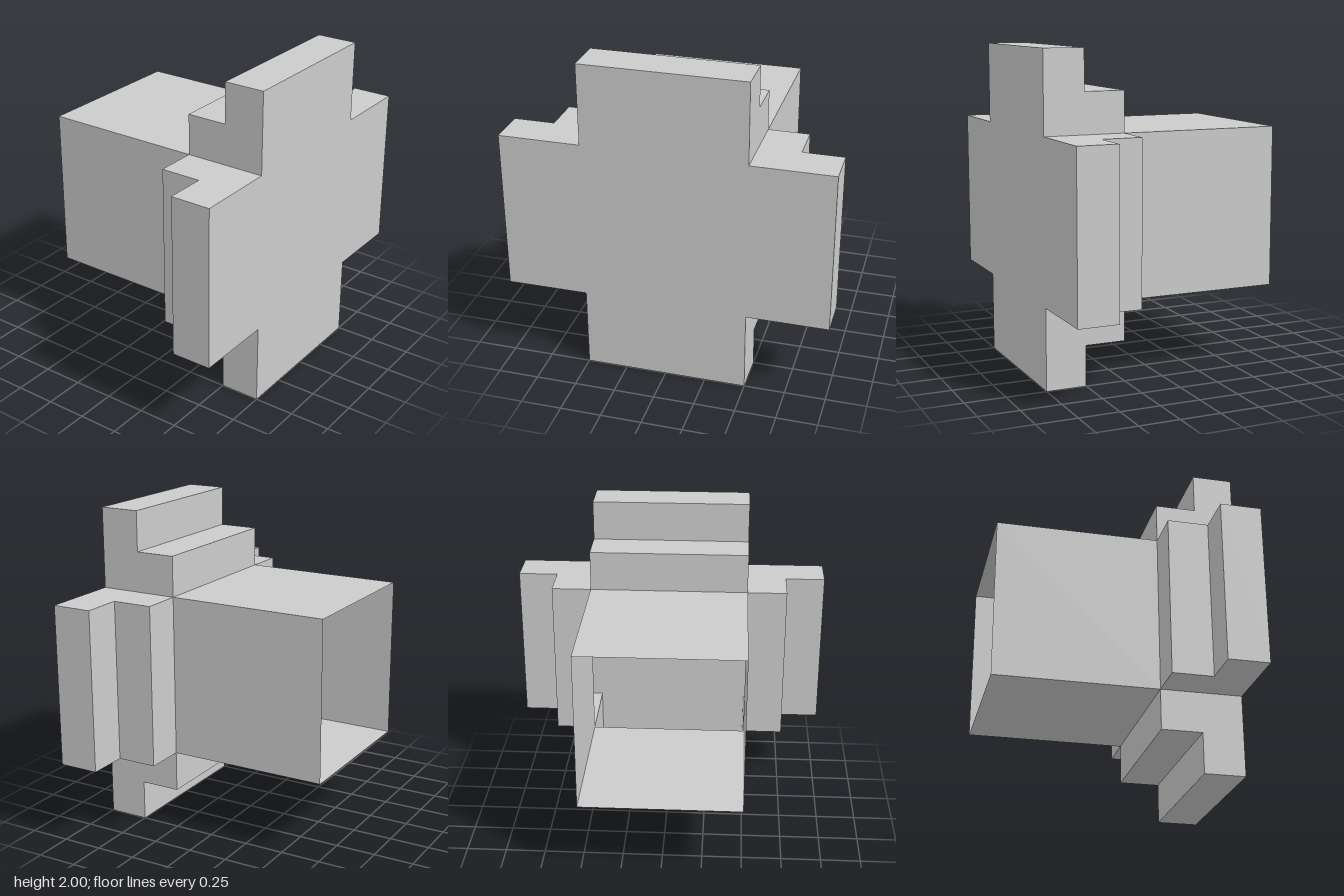
import * as THREE from 'three';

const material = new THREE.MeshStandardMaterial({ color: 0xcccccc, flatShading: true, side: THREE.DoubleSide });
const HALF = 0.5; // half the width of the tube and of each arm

function addMesh(parent, name, geometry) {
  const mesh = new THREE.Mesh(geometry, material);
  mesh.name = name;
  parent.add(mesh);
}

// Hard-edged strip across the arm's width, following [distance, z] points
function strip(profile) {
  const positions = [];
  for (let i = 0; i < profile.length - 1; i++) {
    const [d0, z0] = profile[i];
    const [d1, z1] = profile[i + 1];
    positions.push(
      d0, -HALF, z0, d0, HALF, z0, d1, HALF, z1,
      d0, -HALF, z0, d1, HALF, z1, d1, -HALF, z1);
  }
  const geometry = new THREE.BufferGeometry();
  geometry.setAttribute('position', new THREE.Float32BufferAttribute(positions, 3));
  geometry.computeVertexNormals();
  return geometry;
}

// Flat stepped side of an arm; side is 1 or -1
function armSide(profile, side) {
  const shape = new THREE.Shape(profile.map(([d, z]) => new THREE.Vector2(d, side * z)));
  return new THREE.ShapeGeometry(shape).rotateX(side * Math.PI / 2).translate(0, -side * HALF, 0);
}

export function createModel() {
  const model = new THREE.Group();
  model.name = 'steppedCrossWithTube';
  const body = new THREE.Group();
  body.name = 'hollowBody';
  body.position.y = 1;
  model.add(body);

  const tubeWall = [[0.5, -0.75], [0.5, 0.25]];
  const steps = [[0.5, 0.25], [0.75, 0.25], [0.75, 0.5], [1, 0.5], [1, 0.75]];

  // Four tube walls, open at the back, each leading into a hollow stepped arm
  ['left', 'top', 'right', 'bottom'].forEach((name, i) => {
    const quarter = new THREE.Group();
    quarter.name = name + 'Quarter';
    quarter.rotation.z = i * Math.PI / 2;
    addMesh(quarter, name + 'TubeWall', strip(tubeWall));
    addMesh(quarter, name + 'ArmSteps', strip(steps));
    for (const side of [1, -1]) {
      addMesh(quarter, name + 'ArmSide', armSide([...steps, [0.5, 0.75]], side));
    }
    body.add(quarter);
  });

  // Cross-shaped front plate
  const outline = [];
  for (let i = 0; i < 4; i++) {
    for (const [x, y] of [[0.5, -0.5], [1, -0.5], [1, 0.5]]) {
      outline.push(new THREE.Vector2(x, y).rotateAround(new THREE.Vector2(), i * Math.PI / 2));
    }
  }
  addMesh(body, 'frontPlate', new THREE.ShapeGeometry(new THREE.Shape(outline)).translate(0, 0, 0.75));

  return model;
}
